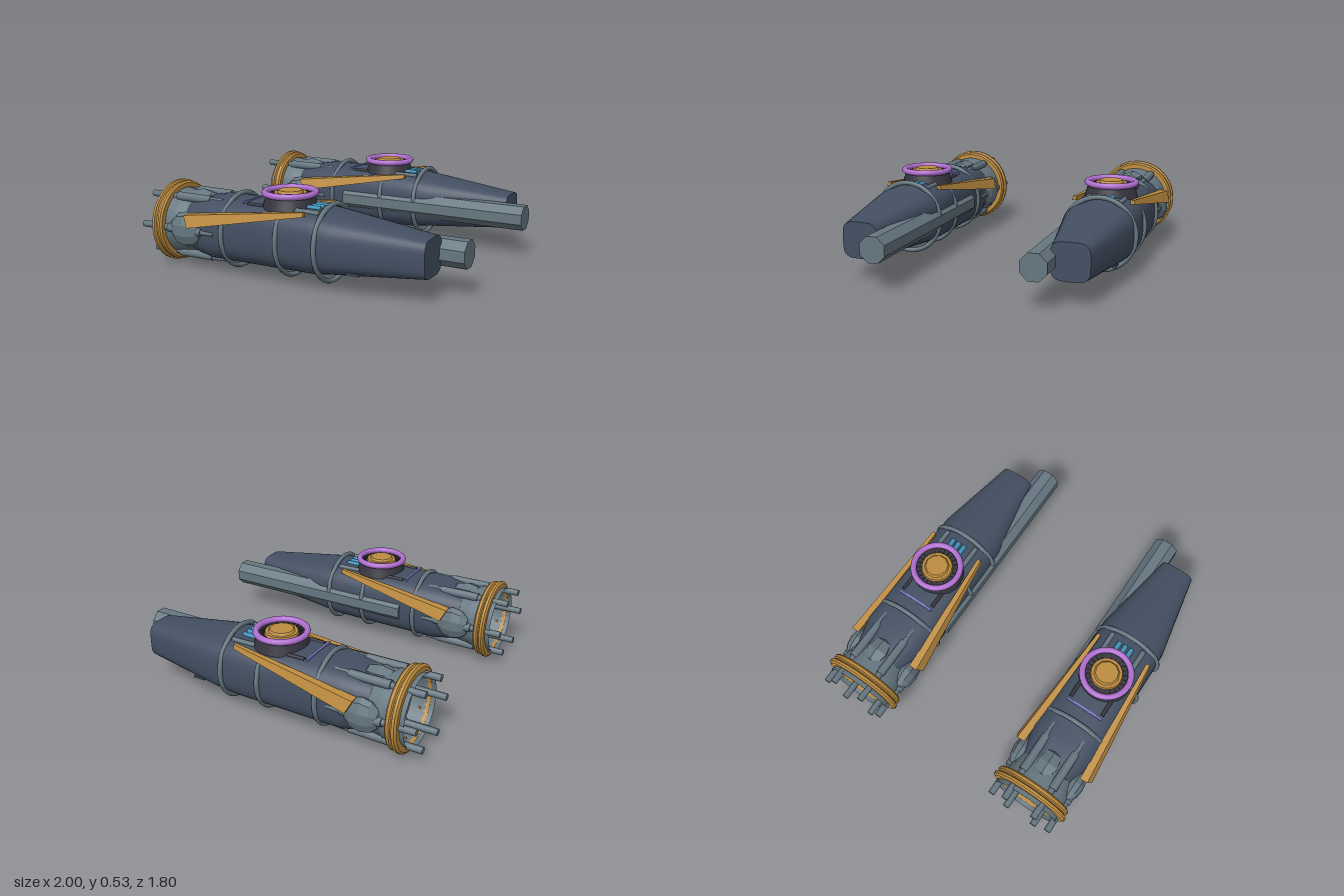
import * as THREE from 'three';
import { toCreasedNormals } from 'three/addons/utils/BufferGeometryUtils.js';

const mat = (name, color, side = THREE.FrontSide) => {
  const m = new THREE.MeshStandardMaterial({ color, side });
  m.name = name;
  return m;
};

const CY = 0.265; // height of the pod axis

// Closed solid from cross-sections: each is { x, pts: [[z, y], ...] }, running from z towards y
function loft(sections, crease) {
  const n = sections[0].pts.length, pos = [], idx = [];
  sections.forEach(({ x, pts }) => pts.forEach(([z, y]) => pos.push(x, y, z)));
  for (let k = 0; k < sections.length - 1; k++)
    for (let i = 0; i < n; i++) {
      const a = k * n + i, b = k * n + (i + 1) % n, c = a + n, d = b + n;
      idx.push(a, c, b, b, c, d);
    }
  const e = (sections.length - 1) * n;
  for (let i = 1; i < n - 1; i++) idx.push(0, i, i + 1, e, e + i + 1, e + i);
  const g = new THREE.BufferGeometry();
  g.setAttribute('position', new THREE.Float32BufferAttribute(pos, 3));
  g.setIndex(idx);
  return toCreasedNormals(g, crease);
}

// Rounded-square outline
function superellipse(x, hz, hy, cy, power, n = 40) {
  const f = v => Math.sign(v) * Math.abs(v) ** (2 / power);
  const pts = [];
  for (let i = 0; i < n; i++) {
    const a = (i / n) * Math.PI * 2;
    pts.push([hz * f(Math.cos(a)), cy + hy * f(Math.sin(a))]);
  }
  return { x, pts };
}

// Cylinder lying along x from x0 (radius r0) to x1 (radius r1)
function rod(x0, x1, r0, r1, sides, open = false) {
  return new THREE.CylinderGeometry(r1, r0, x1 - x0, sides, 1, open)
    .rotateZ(-Math.PI / 2).translate((x0 + x1) / 2, 0, 0);
}

export function createModel() {
  const model = new THREE.Group();
  const hullMat = mat('slate hull', 0x434f62);
  const steel = mat('grey steel', 0x667781);
  const steelOpen = steel.clone();
  steelOpen.side = THREE.DoubleSide;
  const gold = mat('gold', 0xbd8c3f);
  const purple = mat('purple', 0xb06fd0);
  const violet = mat('violet stripe', 0x7c7cc8);
  const blue = mat('blue', 0x3f92bc);
  const dark = mat('charcoal', 0x36353f);

  // side = +1 for the front pod, -1 for the back pod; the inner flank is at -side
  function makePod(side) {
    const pod = new THREE.Group();
    pod.name = side > 0 ? 'frontPod' : 'backPod';
    pod.position.z = 0.63 * side;
    const add = (name, geo, material, x = 0, y = 0, z = 0) => {
      const m = new THREE.Mesh(geo, material);
      m.name = name;
      m.position.set(x, y, z);
      pod.add(m);
      return m;
    };

    // Main hull, tapering to a blunt rounded-square nose
    add('hull', loft([
      superellipse(-0.7, 0.175, 0.165, 0.27, 2.6),
      superellipse(-0.53, 0.216, 0.19, 0.272, 3),
      superellipse(0.18, 0.216, 0.185, 0.274, 3),
      superellipse(0.32, 0.212, 0.168, 0.274, 3),
      superellipse(0.855, 0.112, 0.11, 0.265, 4),
    ], 0.5), hullMat);

    // Hoops round the hull
    for (const x of [-0.395, -0.015, 0.24])
      add('hoop', new THREE.TorusGeometry(0.222, 0.015, 8, 48).rotateY(Math.PI / 2), steel, x, CY);

    // Open rear collar with its core and inner plates
    add('collar', rod(-0.93, -0.77, 0.212, 0.2, 32, true), steelOpen, 0, CY);
    add('core', rod(-0.79, -0.6, 0.2, 0.17, 32), steel, 0, CY);
    add('innerRing', rod(-0.8, -0.785, 0.12, 0.12, 24), gold, 0, CY);
    add('innerHub', rod(-0.81, -0.785, 0.085, 0.085, 24), steel, 0, CY);

    // Twin-ridged gold band
    const band = [[0.208, -0.036], [0.236, -0.036], [0.246, -0.026], [0.246, -0.01], [0.236, -0.004],
      [0.24, 0.004], [0.254, 0.01], [0.254, 0.026], [0.24, 0.036], [0.208, 0.036], [0.208, -0.036]]
      .map(([r, h]) => new THREE.Vector2(r, h));
    add('collarBand', toCreasedNormals(new THREE.LatheGeometry(band, 40).rotateZ(Math.PI / 2), 0.6),
      gold, -0.866, CY);

    // Six rods through the collar, and small studs inside it
    for (let i = 0; i < 6; i++) {
      const a = (i * Math.PI) / 3, y = Math.sin(a), z = Math.cos(a);
      add('rearPin', rod(-1, -0.78, 0.021, 0.021, 8), steel, 0, CY + 0.2 * y, 0.2 * z);
      add('rodSleeve', rod(-0.8, -0.55, 0.028, 0.026, 8), steel, 0, CY + 0.203 * y, 0.203 * z);
      add('rodTip', rod(-0.56, -0.46, 0.018, 0.014, 8), steel, 0, CY + 0.206 * y, 0.206 * z);
      const b = a + Math.PI / 6;
      add('stud', new THREE.BoxGeometry(0.012, 0.012, 0.012), gold,
        -0.85, CY + 0.203 * Math.sin(b), 0.203 * Math.cos(b));
    }

    // Faceted fairings: broad on the flanks, pointed above and below
    const facet = (sides, rows) =>
      toCreasedNormals(new THREE.SphereGeometry(1, sides, rows).rotateZ(Math.PI / 2), 0.3);
    for (const s of [1, -1]) {
      add('flankFairing', facet(10, 6), steel, -0.675, CY, 0.19 * s).scale.set(0.115, 0.11, 0.06);
      add('spineFairing', facet(6, 4), steel, -0.69, CY + 0.165 * s, 0).scale.set(0.1, 0.05, 0.075);
    }

    // Gold strakes rising along both shoulders
    for (const s of [1, -1]) {
      const section = (x0, x1, x2, corners) => ({ x: x0, pts: corners });
      const rear = [[0.272, 0.297], [0.25, 0.368], [0.2, 0.372], [0.215, 0.297]];
      const tip = [[0.194, 0.44], [0.187, 0.466], [0.165, 0.466], [0.165, 0.44]];
      const orient = pts => (s > 0 ? pts : pts.map(([z, y]) => [-z, y]).reverse());
      const geo = loft([{ x: -0.61, pts: orient(rear) }, { x: 0.155, pts: orient(tip) }], 0.2);
      // rake the rear end so its top corner trails
      const p = geo.attributes.position;
      for (let i = 0; i < p.count; i++)
        if (p.getX(i) < -0.5 && p.getY(i) > 0.33) p.setX(i, -0.645);
      add('strake', geo, gold);
    }

    // Long eight-sided barrel on the inner flank
    add('barrel', toCreasedNormals(
      rod(-0.3, 1, 0.084, 0.084, 8).rotateX(Math.PI / 8), 0.3), steel, 0, 0.262, -0.158 * side);

    // Round turret on top
    const tx = -0.05;
    add('turretBase', new THREE.CylinderGeometry(0.142, 0.165, 0.07, 32), dark, tx, 0.475);
    add('turretRim', new THREE.TorusGeometry(0.148, 0.019, 10, 40).rotateX(Math.PI / 2), purple, tx, 0.525);
    add('turretStep', new THREE.CylinderGeometry(0.095, 0.1, 0.02, 24), gold, tx, 0.517);
    add('turretCap', new THREE.CylinderGeometry(0.07, 0.08, 0.014, 10), gold, tx, 0.533);
    for (let i = 0; i < 24; i++) {
      const a = (i / 24) * Math.PI * 2;
      add('turretRib', new THREE.BoxGeometry(0.03, 0.008, 0.01), dark,
        tx + 0.118 * Math.cos(a), 0.512, 0.118 * Math.sin(a)).rotation.y = -a;
    }

    // Blue tubes ahead of the turret, with grey rails beside them
    for (const z of [-0.042, 0, 0.042])
      add('blueTube', rod(0.09, 0.185, 0.015, 0.015, 10), blue, 0, 0.46, z);
    for (const z of [-0.11, 0.11]) {
      add('topRail', rod(0.06, 0.215, 0.016, 0.016, 8), steel, 0, 0.45, z);
      add('rearRail', rod(-0.27, -0.16, 0.013, 0.013, 8), dark, 0, 0.45, z);
    }

    // Violet stripe across the back, gold strips under the belly
    add('topStripe', new THREE.BoxGeometry(0.014, 0.012, 0.245), violet, -0.295, 0.46);
    for (const [x0, x1] of [[-0.37, -0.24], [-0.19, -0.06]])
      add('bellyStrip', new THREE.BoxGeometry(x1 - x0, 0.012, 0.02), gold, (x0 + x1) / 2, 0.08, 0);

    // Small bracket low on the outer flank
    add('bracket', new THREE.BoxGeometry(0.075, 0.014, 0.02), hullMat, 0.45, 0.147, 0.152 * side);
    return pod;
  }

  model.add(makePod(1), makePod(-1));
  return model;
}
